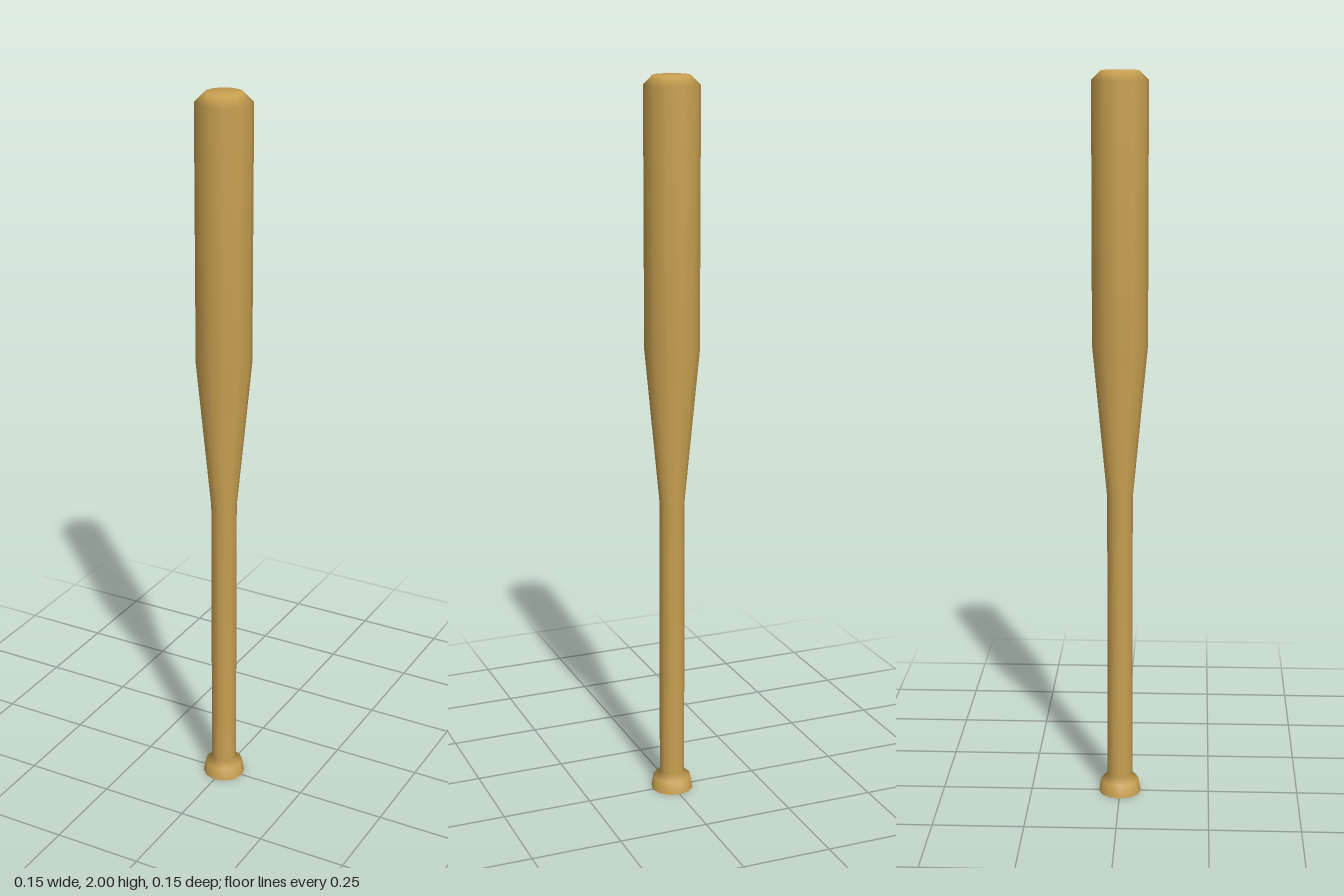
import * as THREE from 'three';

const SIDES = 12;

export function createModel() {
  const model = new THREE.Group();
  model.name = 'bat';
  const wood = new THREE.MeshStandardMaterial({ color: 0xc8a050 });

  const add = (name, geometry) => {
    const mesh = new THREE.Mesh(geometry, wood);
    mesh.name = name;
    model.add(mesh);
    return mesh;
  };

  // Turned body: knob, slim handle, taper, barrel and rounded tip ([radius, height])
  const profile = [
    [0.059, 0], [0.053, 0.036], [0.035, 0.052],
    [0.035, 0.86],
    [0.075, 1.28], [0.075, 1.975],
    [0.05, 2], [0, 2],
  ].map(([r, y]) => new THREE.Vector2(r, y));
  add('batBody', new THREE.LatheGeometry(profile, SIDES));

  // Flat underside of the knob, with a sharp rim
  add('knobBase', new THREE.CircleGeometry(0.059, SIDES).rotateX(Math.PI / 2));

  return model;
}
